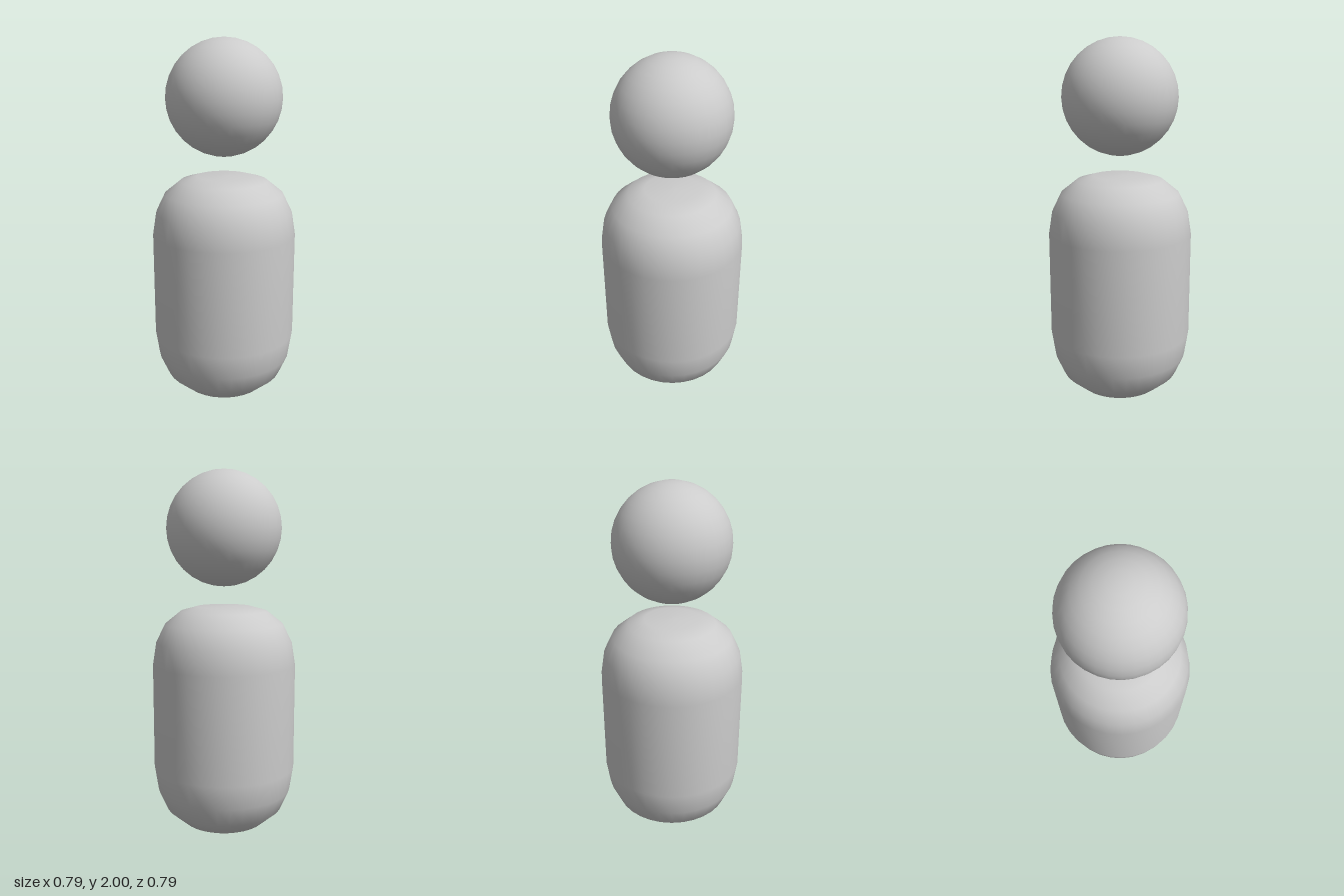
import * as THREE from 'three';

export function createModel() {
  const model = new THREE.Group();
  const material = new THREE.MeshStandardMaterial({ color: 0xcccccc });

  const add = (name, geometry, y = 0) => {
    const mesh = new THREE.Mesh(geometry, material);
    mesh.name = name;
    mesh.position.y = y;
    model.add(mesh);
  };

  // Body: a cylinder with broadly rounded ends and small flat caps, [radius, height]
  const profile = [
    [0, 0], [0.135, 0.004], [0.235, 0.034], [0.328, 0.114], [0.377, 0.225], [0.397, 0.357],
    [0.397, 0.94], [0.377, 1.066], [0.328, 1.166], [0.24, 1.237], [0.15, 1.262], [0, 1.265],
  ].map(([r, y]) => new THREE.Vector2(r, y));
  add('body', new THREE.LatheGeometry(profile, 32));

  // Head: a ball floating above the body
  add('head', new THREE.SphereGeometry(0.314, 32, 16), 1.686);

  return model;
}
